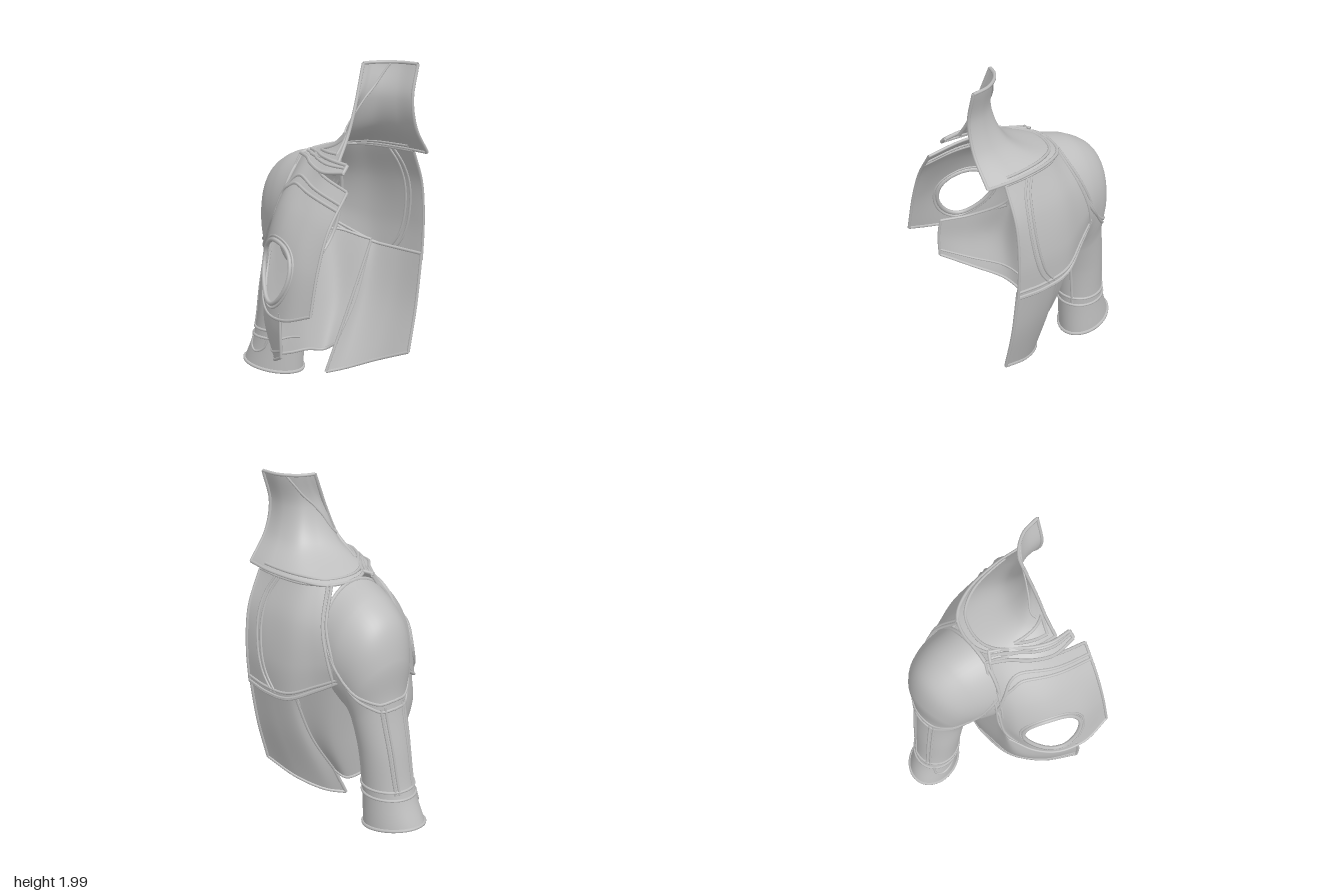
import * as THREE from 'three';
import { ParametricGeometry } from 'three/addons/geometries/ParametricGeometry.js';

const fabric = new THREE.MeshStandardMaterial({ color: 0xbfbfbf, side: THREE.DoubleSide });
fabric.name = 'grey fabric';

const V = (p) => new THREE.Vector3(p[0], p[1], p[2] || 0);
const curve = (pts) => new THREE.CatmullRomCurve3(pts);
const clamp = (t) => Math.min(1, Math.max(0, t));

// Smooth surface through columns of points: u runs across columns, v along each one
function loft(columns) {
  const curves = columns.map((c) => curve(c.map(V)));
  return (u, v) => curve(curves.map((c) => c.getPoint(clamp(v)))).getPoint(clamp(u));
}

export function createModel() {
  const model = new THREE.Group();
  model.name = 'halfJacket';

  const add = (name, geometry) => {
    const mesh = new THREE.Mesh(geometry, fabric);
    mesh.name = name;
    model.add(mesh);
  };
  const panel = (name, surf, nu, nv) =>
    add(name, new ParametricGeometry((u, v, target) => target.copy(surf(u, v)), nu, nv));

  // Raised piping that follows a surface through a few (u, v) points
  const seam = (name, surf, uv, r = 0.01) => {
    const path = curve(uv.map(V));
    const pts = [];
    for (let i = 0; i <= 28; i++) {
      const p = path.getPoint(i / 28);
      pts.push(surf(clamp(p.x), clamp(p.y)));
    }
    add(name, new THREE.TubeGeometry(curve(pts), 56, r, 6));
  };
  const line = (a, b) => [0, 0.25, 0.5, 0.75, 1].map((t) => [a[0] + (b[0] - a[0]) * t, a[1] + (b[1] - a[1]) * t]);
  const corners = [[0, 0], [1, 0], [1, 1], [0, 1], [0, 0]];
  const border = (name, surf, r = 0.009) => {
    for (let i = 0; i < 4; i++) seam(name, surf, line(corners[i], corners[i + 1]), r);
  };

  // Chest panel with an oval opening
  const chest = loft([
    [[0.455, 0.71, 0.52], [0.455, 0.95, 0.46], [0.46, 1.15, 0.38], [0.48, 1.35, 0.24]],
    [[0.28, 0.65, 0.53], [0.28, 0.95, 0.465], [0.27, 1.18, 0.355], [0.27, 1.4, 0.19]],
    [[0.12, 0.64, 0.48], [0.08, 0.92, 0.42], [0.1, 1.18, 0.32], [0.12, 1.44, 0.09]],
    [[0, 0.69, 0.39], [-0.05, 0.92, 0.315], [-0.03, 1.18, 0.235], [0.03, 1.46, 0.04]],
    [[-0.09, 0.78, 0.26], [-0.11, 0.96, 0.19], [-0.1, 1.15, 0.15], [-0.05, 1.45, 0]],
  ]);
  const hole = { u: 0.5, v: 0.28, ru: 0.235, rv: 0.205 };
  const chestRing = (t, k) => {
    const side = Math.min(3, Math.floor(t * 4));
    const f = t * 4 - side;
    const [a, b] = [corners[side], corners[side + 1]];
    const bu = a[0] + (b[0] - a[0]) * f, bv = a[1] + (b[1] - a[1]) * f;
    const angle = Math.atan2((bv - hole.v) / hole.rv, (bu - hole.u) / hole.ru);
    const hu = hole.u + hole.ru * Math.cos(angle), hv = hole.v + hole.rv * Math.sin(angle);
    return chest(hu + (bu - hu) * k, hv + (bv - hv) * k);
  };
  panel('chestPanel', chestRing, 96, 14);
  border('chestHem', chest);
  const rim = (grow) => Array.from({ length: 33 }, (_, i) => {
    const a = (i / 32) * Math.PI * 2;
    return [hole.u + hole.ru * grow * Math.cos(a), hole.v + hole.rv * grow * Math.sin(a)];
  });
  seam('openingRim', chest, rim(1), 0.013);
  seam('openingStitch', chest, rim(1.13), 0.007);
  for (const v of [0.84, 0.89]) seam('chestSeam', chest, [[0, v], [0.3, v], [0.6, v], [0.72, v - 0.04], [0.85, 0.75], [1, 0.6]]);
  seam('chestSideSeam', chest, line([0.93, 0.5], [0.93, 1]), 0.008);

  // Lower side panel, from under the chest opening round beneath the arm
  const flank = loft([
    [[0.24, 0.42, 0.515], [0.24, 0.55, 0.52], [0.23, 0.67, 0.51]],
    [[0.08, 0.33, 0.39], [0.06, 0.52, 0.425], [0.05, 0.69, 0.415]],
    [[-0.04, 0.28, 0.22], [-0.075, 0.56, 0.295], [-0.09, 0.82, 0.25]],
    [[-0.065, 0.24, 0.06], [-0.095, 0.6, 0.15], [-0.1, 1.1, 0.15]],
    [[-0.06, 0.22, -0.08], [-0.1, 0.48, -0.1], [-0.12, 0.73, -0.1]],
    [[-0.02, 0.2, -0.18], [-0.04, 0.5, -0.3], [-0.13, 0.9, -0.35]],
    [[0.04, 0.24, -0.22], [0.08, 0.5, -0.36], [0.1, 0.85, -0.48]],
  ]);
  panel('sidePanel', flank, 48, 18);
  border('sideHem', flank);
  seam('sideHemBand', flank, line([0, 0.14], [0.6, 0.14]), 0.007);

  // Upper and lower back
  const back = loft([
    [[0.45, 0.78, -0.515], [0.45, 1, -0.525], [0.45, 1.25, -0.5], [0.45, 1.46, -0.41]],
    [[0.28, 0.77, -0.525], [0.28, 1, -0.53], [0.28, 1.25, -0.49], [0.28, 1.46, -0.41]],
    [[0.1, 0.79, -0.515], [0.09, 1, -0.51], [0.1, 1.25, -0.47], [0.12, 1.46, -0.38]],
    [[-0.07, 0.88, -0.44], [-0.06, 1.04, -0.45], [-0.02, 1.25, -0.425], [0.04, 1.46, -0.33]],
    [[-0.2, 0.96, -0.38], [-0.18, 1.06, -0.405], [-0.1, 1.26, -0.39], [-0.02, 1.46, -0.28]],
  ]);
  panel('upperBack', back, 30, 20);
  border('upperBackHem', back);
  for (const d of [0, 0.05]) {
    seam('backYokeSeam', back, [[0.26 - d, 1], [0.2 - d, 0.85], [0.18 - d, 0.55], [0.26 - d, 0.2], [0.36 - d, 0.04]], 0.008);
    seam('backCrossSeam', back, line([0, d + 0.01], [1, d + 0.01]), 0.009);
  }
  seam('backArmholeStitch', back, line([0.93, 0], [0.93, 1]), 0.009);
  const tail = loft([
    [[0.45, 0.23, -0.4], [0.45, 0.5, -0.465], [0.45, 0.82, -0.512]],
    [[0.25, 0.15, -0.34], [0.27, 0.5, -0.45], [0.28, 0.82, -0.515]],
    [[0.1, 0.09, -0.24], [0.12, 0.5, -0.4], [0.14, 0.83, -0.495]],
    [[0.02, 0.07, -0.15], [0.07, 0.5, -0.33], [0.1, 0.84, -0.48]],
  ]);
  panel('lowerBack', tail, 20, 16);
  border('lowerBackHem', tail, 0.01);

  // Collar flaring into the shoulder yoke, from the centre back to the front edge
  const collar = loft([
    [[0.555, 1.99, -0.285], [0.555, 1.8, -0.24], [0.555, 1.63, -0.28], [0.555, 1.47, -0.395]],
    [[0.45, 1.99, -0.27], [0.45, 1.8, -0.23], [0.43, 1.62, -0.28], [0.36, 1.47, -0.41]],
    [[0.37, 1.99, -0.22], [0.36, 1.8, -0.18], [0.3, 1.61, -0.24], [0.13, 1.47, -0.38]],
    [[0.33, 1.99, -0.17], [0.33, 1.8, -0.11], [0.24, 1.59, -0.14], [0, 1.46, -0.3]],
    [[0.32, 1.99, -0.145], [0.325, 1.8, -0.07], [0.22, 1.58, -0.05], [-0.04, 1.46, -0.12]],
    [[0.315, 1.99, -0.13], [0.325, 1.78, -0.045], [0.23, 1.575, 0], [0.03, 1.465, 0.01]],
    [[0.312, 1.99, -0.12], [0.328, 1.76, -0.02], [0.28, 1.58, 0.04], [0.19, 1.475, 0.11]],
    [[0.31, 1.99, -0.11], [0.33, 1.75, -0.01], [0.335, 1.6, 0.06], [0.34, 1.48, 0.14]],
  ]);
  panel('collar', collar, 56, 26);
  border('collarHem', collar, 0.01);
  seam('yokeSeam', collar, line([0.1, 0.95], [0.75, 0.95]), 0.009);
  seam('collarSeam', collar, [[0.22, 0], [0.36, 0.25], [0.55, 0.42], [0.75, 0.55], [0.85, 0.6]], 0.007);
  const patch = [[0.75, 0.88], [0.95, 0.58], [0.96, 0.9], [0.75, 0.88]];
  for (let i = 0; i < 3; i++) seam('yokePatchPiping', collar, line(patch[i], patch[i + 1]), 0.01);

  // Strap along the front of the yoke
  const strap = loft([
    [[0.0, 1.475, -0.03], [0.1, 1.48, 0.03], [0.2, 1.485, 0.11], [0.3, 1.485, 0.155], [0.42, 1.475, 0.165]],
    [[-0.03, 1.455, 0.02], [0.06, 1.455, 0.075], [0.15, 1.445, 0.15], [0.28, 1.425, 0.205], [0.42, 1.44, 0.2]],
  ]);
  panel('strap', strap, 4, 24);
  border('strapPiping', strap, 0.011);
  seam('strapStitch', strap, line([0.5, 0], [0.5, 1]), 0.009);

  // Sleeve rings: outer point, inner point, half depth
  const rings = [
    [[-0.04, 1.46, -0.125], [-0.11, 0.73, -0.125], 0.285],
    [[-0.22, 1.405, -0.15], [-0.125, 0.715, -0.14], 0.265],
    [[-0.355, 1.3, -0.16], [-0.135, 0.7, -0.15], 0.235],
    [[-0.415, 1.1, -0.165], [-0.14, 0.69, -0.155], 0.205],
    [[-0.41, 0.85, -0.16], [-0.145, 0.67, -0.155], 0.175],
    [[-0.45, 0.55, -0.14], [-0.17, 0.52, -0.15], 0.155],
    [[-0.49, 0.26, -0.12], [-0.19, 0.27, -0.155], 0.14],
    [[-0.56, 0.07, -0.1], [-0.2, 0.02, -0.16], 0.147],
  ];
  const outer = curve(rings.map((r) => V(r[0])));
  const inner = curve(rings.map((r) => V(r[1])));
  const depth = curve(rings.map((r, i) => V([r[2], i])));
  const sleeve = (u, v) => {
    const a = u * Math.PI * 2;
    const p = inner.getPoint(v).lerp(outer.getPoint(v), 0.5 + 0.5 * Math.cos(a));
    p.z += Math.sin(a) * depth.getPoint(v).x;
    return p;
  };
  panel('sleeve', sleeve, 48, 56);
  const around = (v) => Array.from({ length: 17 }, (_, i) => [i / 16, v]);
  seam('cuffHem', sleeve, around(1), 0.011);
  for (const v of [0.84, 0.87]) seam('cuffSeam', sleeve, around(v), 0.009);
  seam('armholeSeam', sleeve, around(0), 0.012);
  // Paired seams round the upper arm and down the sleeve, front and back
  for (const s of [1, -1]) {
    const flip = (uv) => uv.map(([u, v]) => [s > 0 ? u : 1 - u, v]);
    for (const d of [0, 0.025]) {
      seam('shoulderSeam', sleeve, flip([[0, 0.57 + d], [0.1, 0.56 + d], [0.21, 0.47 + d], [0.26, 0.32 + d], [0.25, 0.14 + d], [0.2, 0.02]]), 0.009);
      seam('sleeveSideSeam', sleeve, flip(line([0.06 + d, 0.58], [0.06 + d, 0.85])), 0.008);
    }
    seam('sleeveInnerSeam', sleeve, flip(line([0.42, 0.6], [0.42, 0.86])), 0.009);
  }
  seam('cuffArc', sleeve, [[0.12, 0.86], [0.14, 0.91], [0.2, 0.935], [0.26, 0.91], [0.28, 0.86]], 0.008);

  return model;
}
